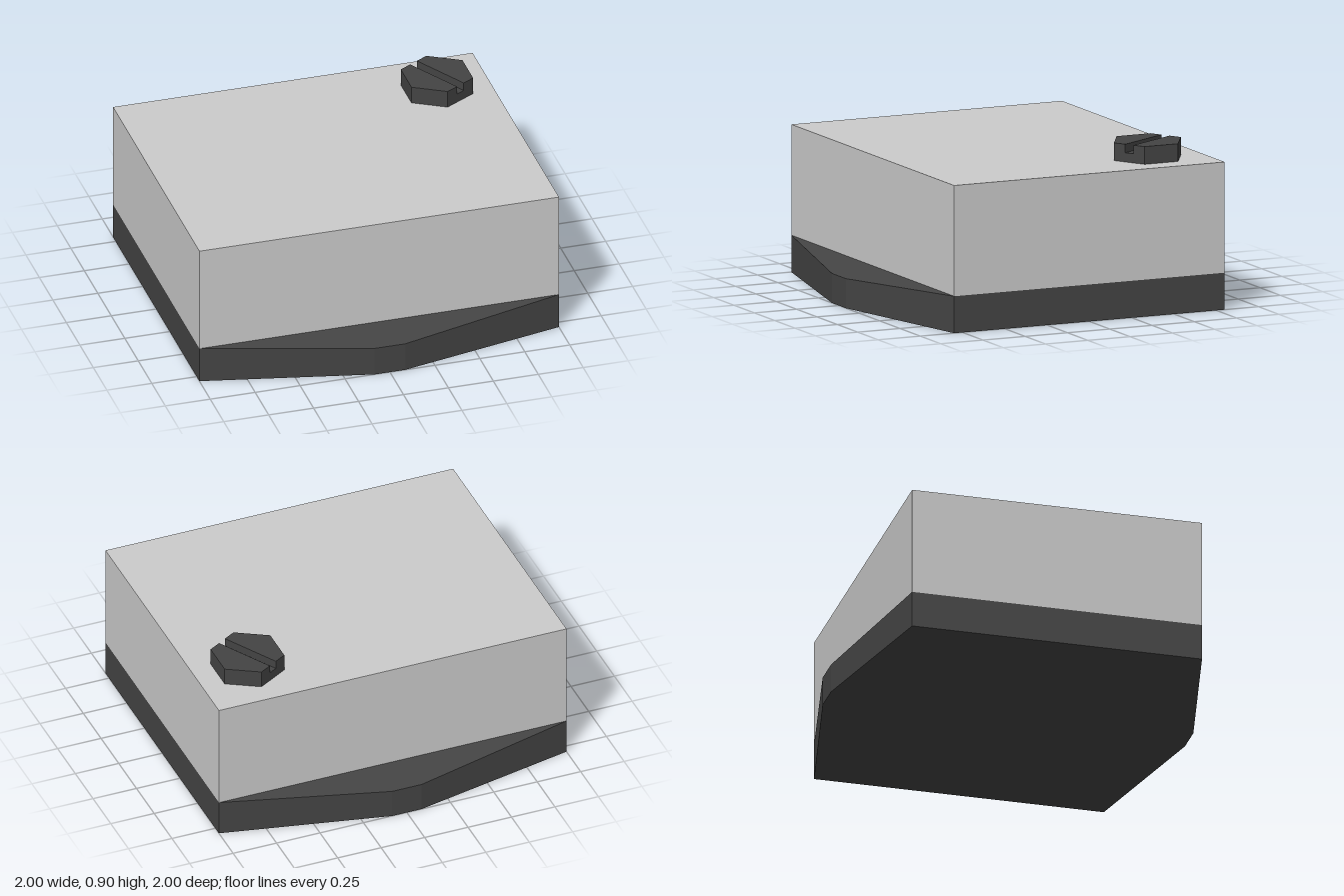
import * as THREE from 'three';

const grey = new THREE.MeshStandardMaterial({ color: 0xcccccc, flatShading: true });
const dark = new THREE.MeshStandardMaterial({ color: 0x444444, flatShading: true });

function addMesh(parent, name, geometry, material, y = 0) {
  const mesh = new THREE.Mesh(geometry, material);
  mesh.name = name;
  mesh.position.y = y;
  parent.add(mesh);
  return mesh;
}

// Flat plate of the given outline, standing on y = 0
function plate(outline, height) {
  const shape = new THREE.Shape(outline.map(([x, y]) => new THREE.Vector2(x, y)));
  const geometry = new THREE.ExtrudeGeometry(shape, { depth: height, bevelEnabled: false });
  return geometry.rotateX(-Math.PI / 2);
}

// Base plate: a box whose front and back ends taper to a narrow, lower nose
function basePlate() {
  const geometry = new THREE.BoxGeometry(2, 0.2, 2, 1, 1, 3).translate(0, 0.1, 0);
  const p = geometry.attributes.position;
  for (let i = 0; i < p.count; i++) {
    const z = p.getZ(i);
    if (Math.abs(z) < 0.9) {
      p.setZ(i, Math.sign(z) * 0.8);
    } else {
      p.setX(i, p.getX(i) * 0.085);
      if (p.getY(i) > 0.1) p.setY(i, 0.16);
    }
  }
  const flat = geometry.toNonIndexed();
  flat.computeVertexNormals();
  return flat;
}

// Hexagonal screw head: solid lower half, upper half split by a slot
function screwHead() {
  const group = new THREE.Group();
  group.name = 'screwHead';
  const r = 0.198, a = r * Math.sqrt(3) / 2, slot = 0.026, floor = 0.05, top = 0.096;
  const hexagon = [[a, -r / 2], [a, r / 2], [0, r], [-a, r / 2], [-a, -r / 2], [0, -r]];
  const half = [[-a, slot], [a, slot], [a, r / 2], [0, r], [-a, r / 2]];
  addMesh(group, 'screwBody', plate(hexagon, floor), dark);
  for (const side of [0, 1]) {
    const mesh = addMesh(group, side ? 'screwHalfB' : 'screwHalfA', plate(half, top - floor), dark, floor);
    mesh.rotation.y = side * Math.PI;
  }
  group.rotation.y = -Math.PI / 3;
  return group;
}

export function createModel() {
  const model = new THREE.Group();
  model.name = 'housing';
  addMesh(model, 'basePlate', basePlate(), dark);
  addMesh(model, 'bodyBlock', new THREE.BoxGeometry(2, 0.6, 1.6), grey, 0.5);
  const screw = screwHead();
  screw.position.set(0.707, 0.8, -0.484);
  model.add(screw);
  return model;
}
